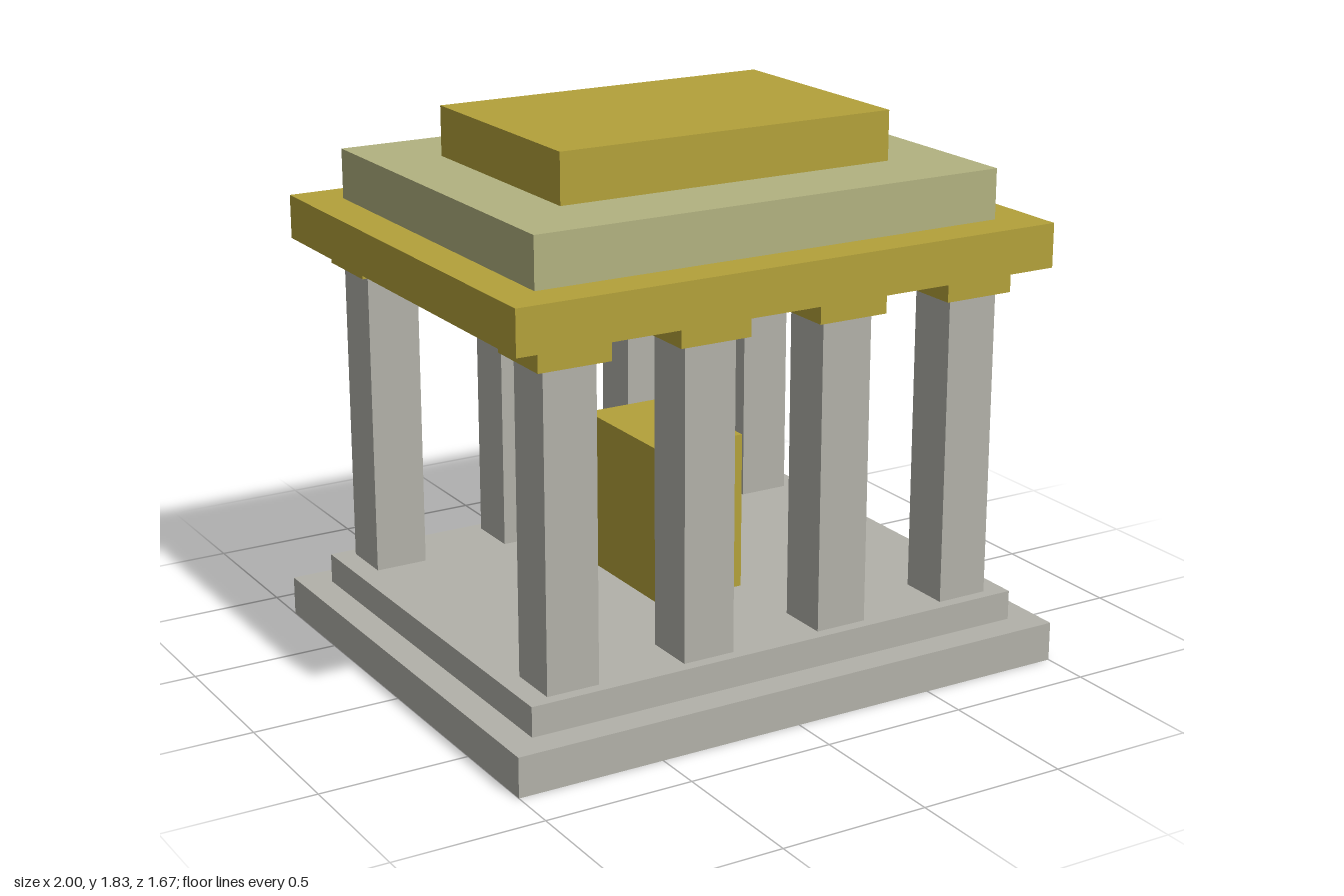
import * as THREE from 'three';

const makeMaterial = (name, color) => {
  const m = new THREE.MeshStandardMaterial({ color, side: THREE.DoubleSide });
  m.name = name;
  return m;
};

// Box shell without an underside, standing on its local y = 0
function openBox(w, h, d) {
  const g = new THREE.BoxGeometry(w, h, d).translate(0, h / 2, 0);
  const index = Array.from(g.index.array);
  index.splice(18, 6); // drop the downward face
  g.setIndex(index);
  g.clearGroups();
  return g;
}

export function createModel() {
  const stone = makeMaterial('grey stone', 0xb2b1a9);
  const gold = makeMaterial('dull gold', 0xb3a13a);
  const sage = makeMaterial('sage stone', 0xb2b280);

  const temple = new THREE.Group();
  temple.name = 'temple';

  const addBlock = (name, material, w, d, bottom, top, x = 0, z = 0, parent = temple) => {
    const mesh = new THREE.Mesh(openBox(w, top - bottom, d), material);
    mesh.name = name;
    mesh.position.set(x, bottom, z);
    parent.add(mesh);
  };

  // Stepped base
  addBlock('lowerStep', stone, 2, 1.667, 0, 0.133);
  addBlock('upperStep', stone, 1.8, 1.467, 0.133, 0.233);

  // Central shrine block
  addBlock('shrine', gold, 0.32, 0.467, 0.233, 0.767);

  // Front and back rows of square columns with capitals
  for (const z of [0.603, -0.603]) {
    const row = new THREE.Group();
    row.name = z > 0 ? 'frontColumns' : 'backColumns';
    temple.add(row);
    for (const x of [-0.735, -0.25, 0.25, 0.735]) {
      addBlock('column', stone, 0.18, 0.18, 0.233, 1.27, x, z, row);
      addBlock('capital', gold, 0.247, 0.247, 1.27, 1.353, x, z, row);
    }
  }

  // Stepped roof
  addBlock('entablature', gold, 1.933, 1.6, 1.353, 1.5);
  addBlock('roofTier', sage, 1.667, 1.333, 1.5, 1.667);
  addBlock('roofCap', gold, 1.2, 0.8, 1.667, 1.833);

  return temple;
}
